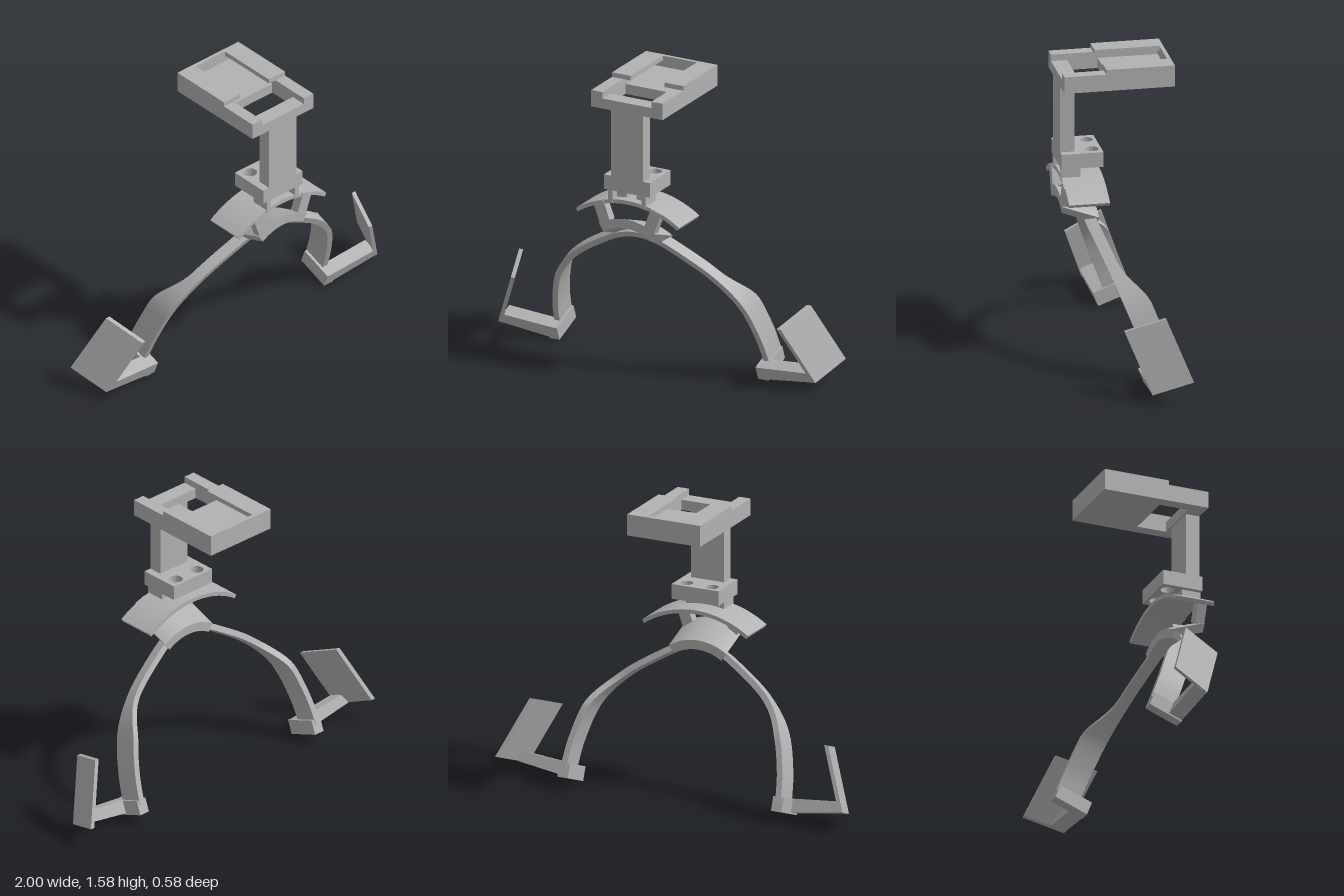
import * as THREE from 'three';
import { toCreasedNormals } from 'three/addons/utils/BufferGeometryUtils.js';

const TILT = 0.367; // lean of the legs and clamps about the x axis

export function createModel() {
  const model = new THREE.Group();
  const grey = new THREE.MeshStandardMaterial({ color: 0xb2b2b2 });
  grey.name = 'matte grey';

  const add = (parent, name, geo) => {
    const mesh = new THREE.Mesh(toCreasedNormals(geo, 0.5), grey);
    mesh.name = name;
    parent.add(mesh);
    return mesh;
  };
  const box = (parent, name, x0, x1, y0, y1, z0, z1) => {
    const g = new THREE.BoxGeometry(Math.abs(x1 - x0), y1 - y0, z1 - z0);
    g.translate((x0 + x1) / 2, (y0 + y1) / 2, (z0 + z1) / 2);
    return add(parent, name, g);
  };
  const shapeOf = (pts) => new THREE.Shape(pts.map(([x, y]) => new THREE.Vector2(x, y)));
  const extrude = (shape, z0, z1) =>
    new THREE.ExtrudeGeometry(shape, { depth: z1 - z0, bevelEnabled: false, curveSegments: 24 }).translate(0, 0, z0);
  // flat plate lying in x/z, with holes given in shape space (shape y = -z)
  const plate = (shape, y0, y1) => extrude(shape, y0, y1).rotateX(-Math.PI / 2);
  // curved band across x, arc of half width w with its crown at y = top
  const arcBand = (w, rise, top, thick) => {
    const R = (w * w + rise * rise) / (2 * rise), a = Math.asin(w / R), c = top - R, pts = [];
    for (let i = 0; i <= 24; i++) {
      const t = -a + (2 * a * i) / 24;
      pts.push([R * Math.sin(t), c + R * Math.cos(t)]);
    }
    for (let i = 24; i >= 0; i--) {
      const t = -a + (2 * a * i) / 24;
      pts.push([(R - thick) * Math.sin(t), c + (R - thick) * Math.cos(t)]);
    }
    return shapeOf(pts);
  };

  // Accessory tray with slotted rails
  const tray = new THREE.Group();
  tray.name = 'tray';
  model.add(tray);
  const floor = shapeOf([[-0.21, -0.29], [0.21, -0.29], [0.21, 0.29], [-0.21, 0.29]]);
  floor.holes.push(shapeOf([[-0.145, -0.205], [-0.145, -0.045], [0.145, -0.045], [0.145, -0.205]]));
  add(tray, 'trayFloor', plate(floor, 1.465, 1.52));
  for (const s of [-1, 1]) {
    box(tray, 'trayRail', s * 0.145, s * 0.21, 1.52, 1.555, -0.29, 0.29);
    box(tray, 'trayLip', s * 0.1, s * 0.21, 1.555, 1.58, -0.29, 0.07);
  }
  box(tray, 'trayBackWall', -0.145, 0.145, 1.52, 1.555, -0.29, -0.27);
  box(tray, 'trayBackLip', -0.1, 0.1, 1.555, 1.58, -0.29, -0.27);

  // Upright column and drilled mounting block
  box(model, 'column', -0.095, 0.095, 1.1, 1.47, 0.215, 0.29);
  const block = shapeOf([[-0.135, -0.29], [0.135, -0.29], [0.135, -0.07], [-0.135, -0.07]]);
  for (const s of [-1, 1]) {
    const hole = new THREE.Path();
    hole.absarc(s * 0.073, -0.12, 0.035, 0, Math.PI * 2, true);
    block.holes.push(hole);
  }
  add(model, 'mountingBlock', plate(block, 1.025, 1.105));

  // Neck, curved saddle and its struts
  for (const s of [-1, 1]) {
    box(model, 'neckLeg', s * 0.085, s * 0.11, 0.955, 1.03, 0.185, 0.29);
    box(model, 'neckFiller', s * 0.03, s * 0.085, 0.965, 1.03, 0.185, 0.24);
    add(model, 'strut', extrude(
      shapeOf([[s * 0.2, 0.942], [s * 0.14, 0.962], [s * 0.1, 0.855], [s * 0.155, 0.82]]), 0.24, 0.29));
  }
  add(model, 'saddle', extrude(arcBand(0.305, 0.095, 0.982, 0.021), 0.07, 0.285));

  // Crown band, sheared so it falls towards the back
  const crown = extrude(arcBand(0.165, 0.05, 0.88, 0.05), 0.1, 0.29);
  const cp = crown.attributes.position;
  for (let i = 0; i < cp.count; i++) cp.setY(i, cp.getY(i) - 0.37 * (0.29 - cp.getZ(i)));
  add(model, 'crown', crown);

  // Tilted lower frame
  const frame = new THREE.Group();
  frame.name = 'lowerFrame';
  frame.rotation.x = TILT;
  model.add(frame);
  add(frame, 'archedLegs', legGeometry());

  for (const s of [-1, 1]) {
    box(frame, 'footBlock', s * 0.585, s * 0.645, -0.015, 0.062, -0.235, -0.045);
    add(frame, 'footBar', extrude(
      shapeOf([[s * 0.935, 0.034], [s * 0.585, -0.015], [s * 0.585, 0.06], [s * 0.9, 0.088]]), -0.122, -0.045));
    // Slanted clamp pad: a box leaned and turned by moving its corners
    const pad = new THREE.BoxGeometry(1, 1, 1);
    const p = pad.attributes.position;
    for (let i = 0; i < p.count; i++) {
      const v = p.getY(i), w = p.getZ(i), outer = p.getX(i) * s > 0;
      const x = 0.8975 - 0.14 * v - 0.065 * w - (outer ? 0 : 0.024);
      p.setXYZ(i, s * x, 0.199 + 0.327 * v, -0.152 + 0.22 * w);
    }
    add(frame, 'clampPad', pad);
  }
  return model;
}

// Arch from foot to foot, widening backwards near the feet
function legGeometry() {
  const half = [[0.635, 0.04], [0.615, 0.2], [0.55, 0.41], [0.42, 0.57], [0.23, 0.705], [0.12, 0.765]];
  const pts = [...half.map(([x, y]) => [-x, y]), [0, 0.79], ...half.slice().reverse()];
  const curve = new THREE.CatmullRomCurve3(pts.map(([x, y]) => new THREE.Vector3(x, y, 0)));
  const N = 64, thick = 0.032, front = -0.105, pos = [], idx = [];
  for (let i = 0; i <= N; i++) {
    const o = curve.getPointAt(i / N), t = curve.getTangentAt(i / N);
    const back = -0.165 - 0.075 * (1 - THREE.MathUtils.smoothstep(o.y, 0.36, 0.58));
    const nx = o.x + t.y * thick, ny = o.y - t.x * thick;
    pos.push(o.x, o.y, front, o.x, o.y, back, nx, ny, back, nx, ny, front);
    if (i === N) break;
    for (let k = 0; k < 4; k++) {
      const a = i * 4 + k, b = i * 4 + ((k + 1) % 4);
      idx.push(a, a + 4, b, b, a + 4, b + 4);
    }
  }
  const e = N * 4;
  idx.push(0, 1, 2, 0, 2, 3, e, e + 2, e + 1, e, e + 3, e + 2);
  const g = new THREE.BufferGeometry();
  g.setAttribute('position', new THREE.Float32BufferAttribute(pos, 3));
  g.setIndex(idx);
  return g;
}
